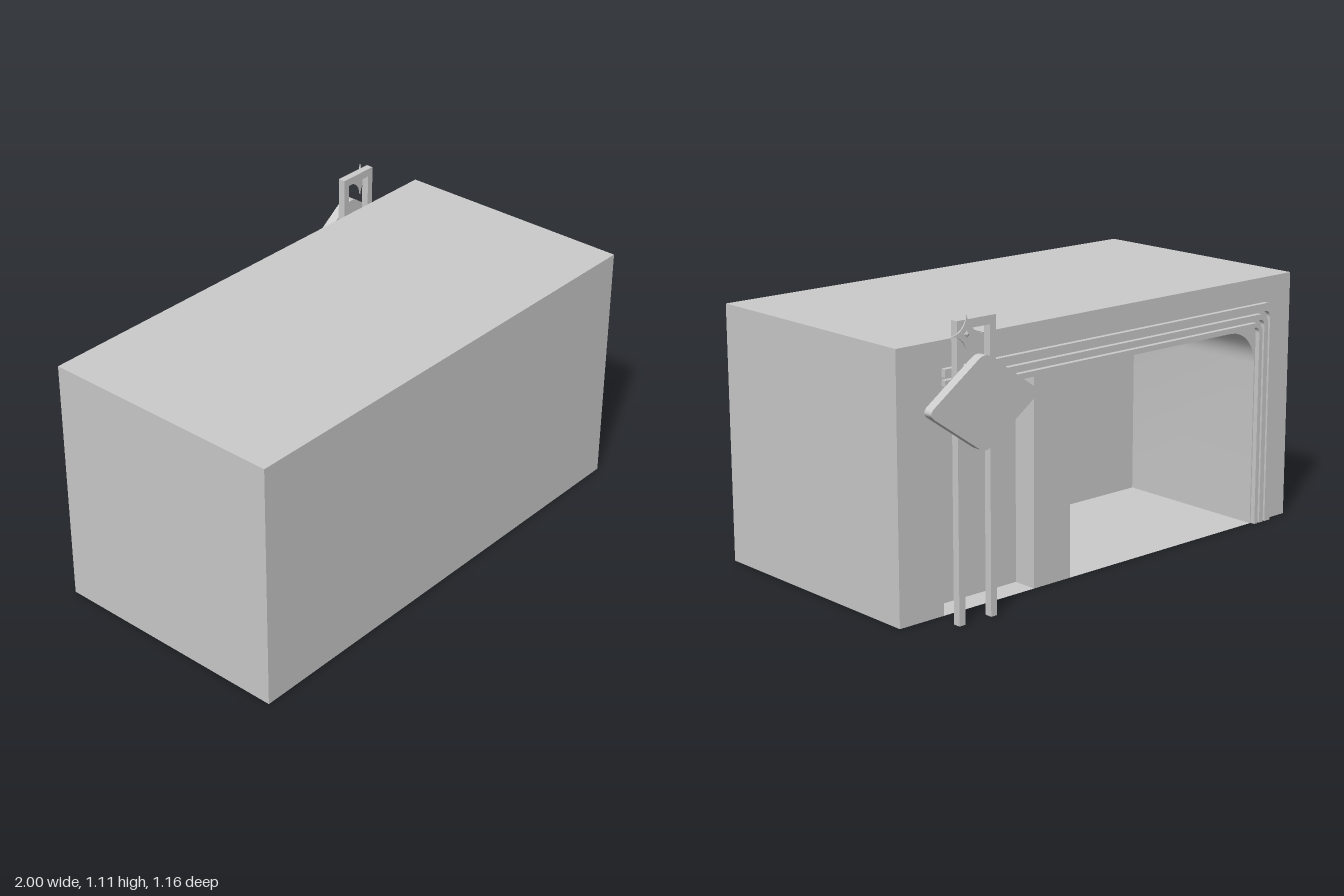
import * as THREE from 'three';
import { toCreasedNormals } from 'three/addons/utils/BufferGeometryUtils.js';

const BACK = -0.42, FRONT = 0.58, DEEP = 0.25;
const mat = new THREE.MeshStandardMaterial({ color: 0xcccccc, side: THREE.DoubleSide });

export function createModel() {
  const model = new THREE.Group();
  const add = (name, geometry) => {
    const mesh = new THREE.Mesh(geometry, mat);
    mesh.name = name;
    model.add(mesh);
    return mesh;
  };
  const box = (name, x0, x1, y0, y1, z0, z1) => {
    const g = new THREE.BoxGeometry(x1 - x0, y1 - y0, z1 - z0);
    add(name, g.translate((x0 + x1) / 2, (y0 + y1) / 2, (z0 + z1) / 2));
  };
  const polygon = pts => new THREE.Shape(pts.map(p => new THREE.Vector2(p[0], p[1])));
  // flat shape in x/y turned to face the back
  const facingBack = (pts, z) =>
    new THREE.ShapeGeometry(polygon(pts.map(([x, y]) => [-x, y]))).rotateY(Math.PI).translate(0, 0, z);
  const extrude = (shape, z0, z1) =>
    new THREE.ExtrudeGeometry(shape, { depth: z1 - z0, bevelEnabled: false, curveSegments: 10 }).translate(0, 0, z0);

  // corner arc on the -x side, from the top edge round to the vertical edge
  const arc = (left, top, r, n = 8) => Array.from({ length: n + 1 }, (_, i) => {
    const a = Math.PI / 2 * (1 + i / n);
    return [left + r + r * Math.cos(a), top - r + r * Math.sin(a)];
  });

  // opening outline: square at +x, rounded at -x
  const opening = [[0.8, 0], [0.8, 0.8], ...arc(-0.8, 0.8, 0.14), [-0.8, 0]];

  // outer shell
  const depth = FRONT - BACK, mid = (FRONT + BACK) / 2;
  add('frontWall', new THREE.PlaneGeometry(2, 1).translate(0, 0.5, FRONT));
  add('roof', new THREE.PlaneGeometry(2, depth).rotateX(-Math.PI / 2).translate(0, 1, mid));
  for (const s of [1, -1]) {
    add(s > 0 ? 'leftWall' : 'rightWall',
      new THREE.PlaneGeometry(depth, 1).rotateY(s * Math.PI / 2).translate(s, 0.5, mid));
  }
  add('backWall', facingBack([[1, 0], [1, 1], [-1, 1], [-1, 0], ...opening.slice().reverse()], BACK));

  // floor, left open beneath the space behind the room
  add('floor', new THREE.ShapeGeometry(polygon([
    [-1, BACK], [1, BACK], [1, FRONT], [0.8, FRONT], [0.8, DEEP], [-0.8, DEEP], [-0.8, FRONT], [-1, FRONT],
  ])).rotateX(Math.PI / 2));

  // room walls and ceiling swept along z, plus the end wall
  const pos = [];
  for (let i = 0; i < opening.length - 1; i++) {
    const [ax, ay] = opening[i], [bx, by] = opening[i + 1];
    pos.push(ax, ay, BACK, bx, by, BACK, bx, by, DEEP, ax, ay, BACK, bx, by, DEEP, ax, ay, DEEP);
  }
  const room = new THREE.BufferGeometry();
  room.setAttribute('position', new THREE.Float32BufferAttribute(pos, 3));
  add('roomLining', toCreasedNormals(room, 0.7));
  add('roomEndWall', facingBack(opening, DEEP));

  // pillar and recessed panel beside it
  box('pillar', 0.19, 0.37, 0, 0.8, BACK, -0.24);
  box('recessedPanel', 0.37, 0.8, 0, 0.8, -0.32, -0.3);

  // three nested trim strips around the opening
  for (const [outer, inner, r] of [[0.9, 0.87, 0.05], [0.86, 0.838, 0.045], [0.828, 0.81, 0.04]]) {
    add('trimStrip', extrude(polygon([
      [0.8, inner], [0.8, outer], ...arc(-outer + 0.005, outer, r), [-outer + 0.005, 0],
      [-inner + 0.005, 0], ...arc(-inner + 0.005, inner, r * 0.6).reverse(),
    ]), -0.44, BACK));
  }

  // sign frame: two posts and a top bar
  add('signFrame', extrude(polygon([
    [0.655, 0], [0.655, 1.09], [0.83, 1.09], [0.83, 0], [0.802, 0], [0.802, 1.058], [0.683, 1.058], [0.683, 0],
  ]), -0.54, -0.51));

  // diamond sign board with rounded corners
  const diamond = (hw, hh, t) => {
    const c = [[hw, 0], [0, hh], [-hw, 0], [0, -hh]];
    const mix = (a, b) => [a[0] + (b[0] - a[0]) * t, a[1] + (b[1] - a[1]) * t];
    const s = new THREE.Shape();
    c.forEach((p, i) => {
      const from = mix(p, c[(i + 3) % 4]), to = mix(p, c[(i + 1) % 4]);
      if (i) s.lineTo(...from); else s.moveTo(...from);
      s.quadraticCurveTo(...p, ...to);
    });
    s.closePath();
    return s;
  };
  add('signBoard', extrude(diamond(0.255, 0.178, 0.12), -0.578, -0.54)).position.set(0.737, 0.797, 0);
  add('signBacking', extrude(diamond(0.16, 0.115, 0.1), -0.54, -0.535)).position.set(0.737, 0.797, 0);

  // four-pointed star: thin curved blades with a small raised hub
  const star = new THREE.Shape();
  star.moveTo(0.068, 0);
  for (let i = 1; i <= 4; i++) {
    const a = i * Math.PI / 2, m = a - Math.PI / 4;
    star.quadraticCurveTo(0.012 * Math.cos(m), 0.012 * Math.sin(m), 0.068 * Math.cos(a), 0.068 * Math.sin(a));
  }
  add('star', extrude(star, -0.545, -0.54)).position.set(0.79, 1.04, 0);
  add('starHub', new THREE.OctahedronGeometry(0.016).scale(1, 1, 0.4)).position.set(0.79, 1.04, -0.544);

  return model;
}
